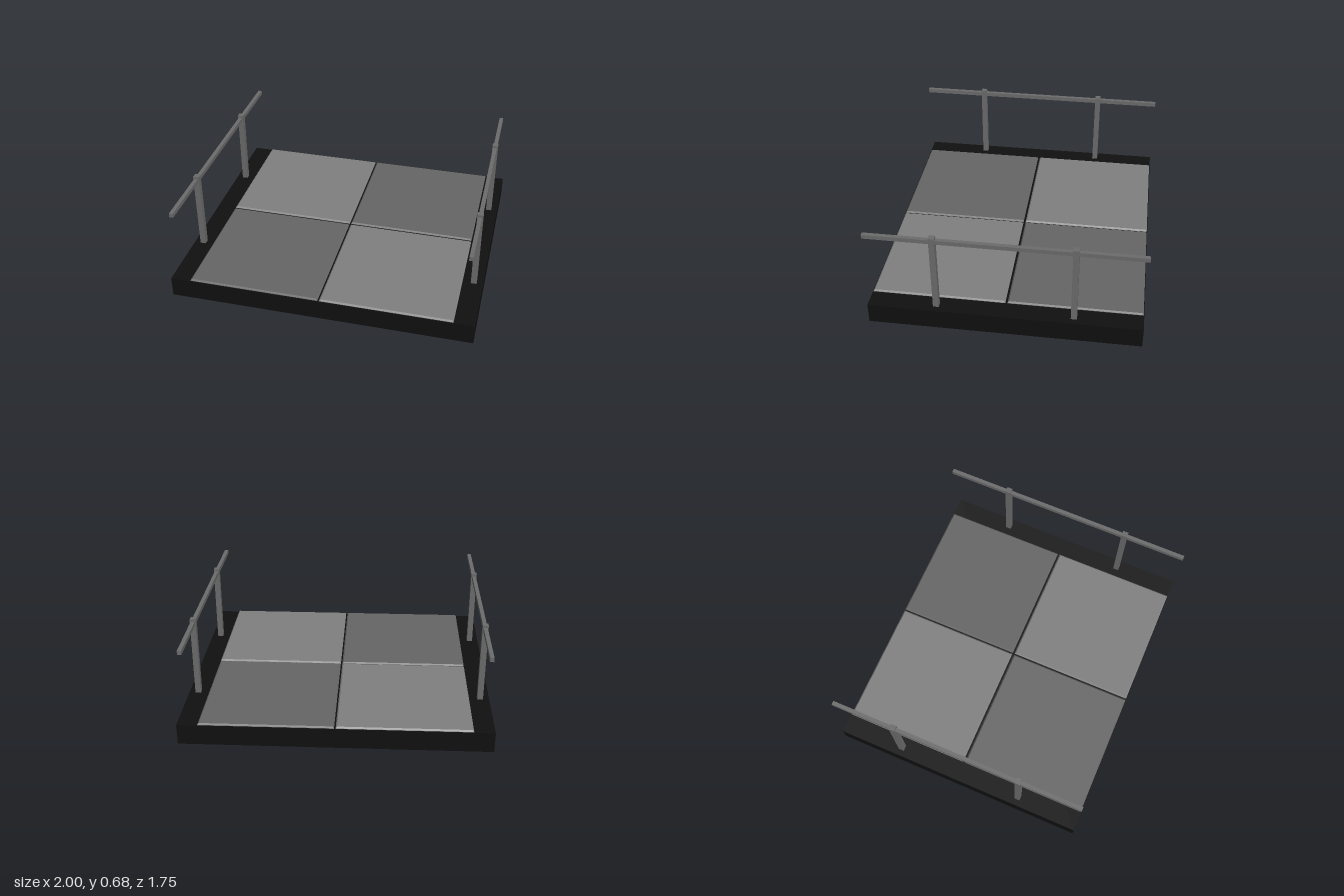
import * as THREE from 'three';

const mat = (color) => new THREE.MeshStandardMaterial({ color, flatShading: true });

export function createModel() {
  const model = new THREE.Group();
  const baseMat = mat(0x101010);
  const lightMat = mat(0x808080);
  const darkMat = mat(0x666666);
  const metalMat = mat(0x6c6c6c);

  const box = (name, size, position, material) => {
    const mesh = new THREE.Mesh(new THREE.BoxGeometry(...size), material);
    mesh.name = name;
    mesh.position.set(...position);
    model.add(mesh);
  };

  // Slab underneath everything
  box('base', [2, 0.137, 1.746], [0, 0.0685, 0], baseMat);

  // Tile with chamfered edges, its lower chamfer sunk into the base
  const bevel = 0.009, half = 0.431 - bevel;
  const outline = new THREE.Shape([
    new THREE.Vector2(-half, -half), new THREE.Vector2(half, -half),
    new THREE.Vector2(half, half), new THREE.Vector2(-half, half),
  ]);
  const tileGeometry = new THREE.ExtrudeGeometry(outline, {
    depth: 0.01, bevelEnabled: true, bevelThickness: bevel, bevelSize: bevel, bevelSegments: 1,
  });
  tileGeometry.rotateX(-Math.PI / 2);

  // Four tiles in a checker pattern
  for (const sx of [-1, 1]) {
    for (const sz of [-1, 1]) {
      const tile = new THREE.Mesh(tileGeometry, sx === sz ? lightMat : darkMat);
      tile.name = 'floorTile';
      tile.position.set(sx * 0.436, 0.149 - 0.01 - bevel, sz * 0.438);
      model.add(tile);
    }
  }

  // Handrails on both sides, each on two posts
  for (const sx of [-1, 1]) {
    box('handrail', [0.026, 0.028, 1.746], [sx * 0.94, 0.647, 0], metalMat);
    for (const sz of [-1, 1]) {
      box('railPost', [0.038, 0.542, 0.038], [sx * 0.94, 0.406, sz * 0.438], metalMat);
    }
  }

  return model;
}
